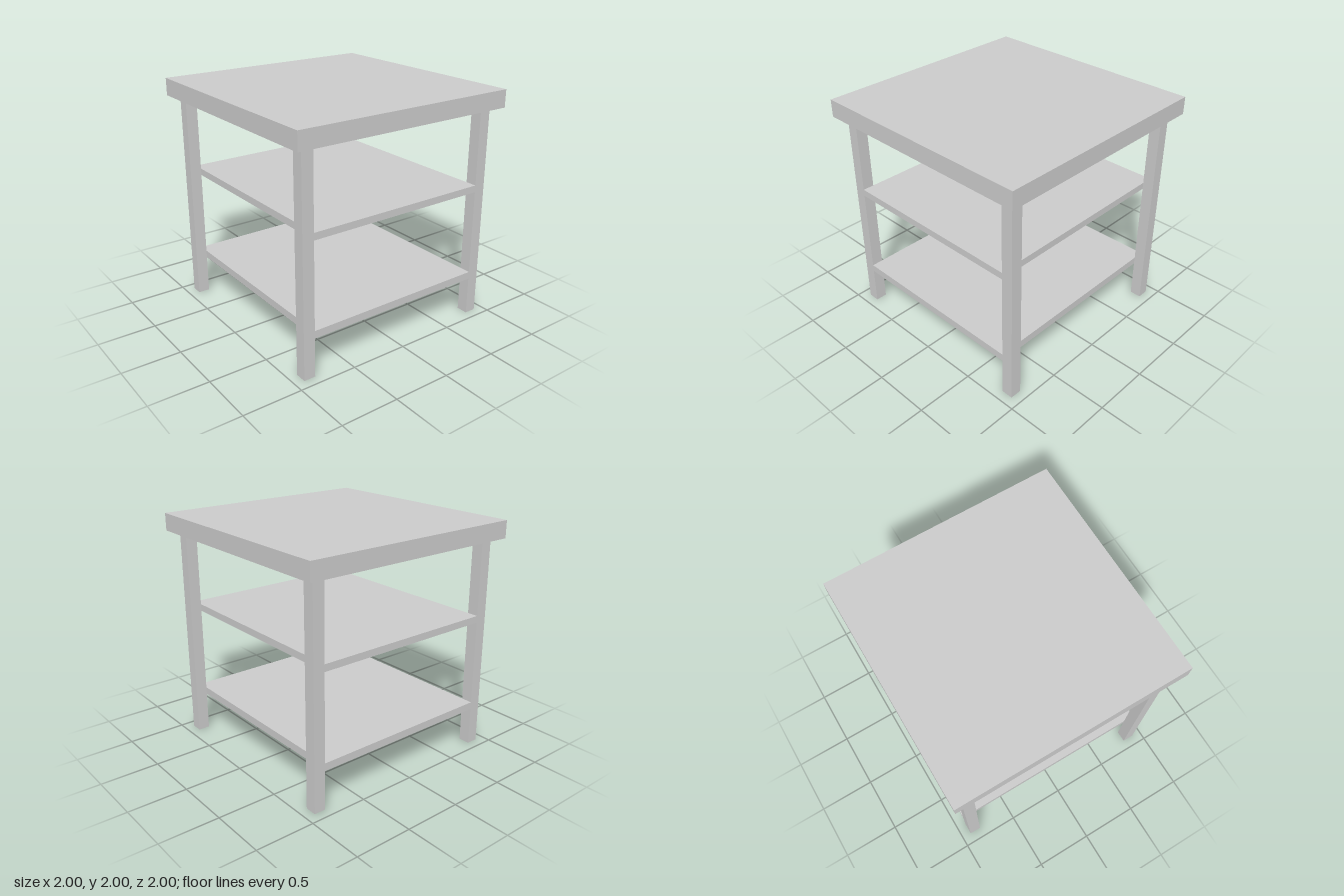
import * as THREE from 'three';

export function createModel() {
  const model = new THREE.Group();
  const material = new THREE.MeshStandardMaterial({ color: 0xcccccc });

  // Box spanning bottom..top, centred on x and z
  const addBox = (name, width, depth, bottom, top, x = 0, z = 0) => {
    const mesh = new THREE.Mesh(new THREE.BoxGeometry(width, top - bottom, depth), material);
    mesh.name = name;
    mesh.position.set(x, (bottom + top) / 2, z);
    model.add(mesh);
  };

  // Thick square top
  addBox('tableTop', 2, 2, 1.85, 2);

  // Four square legs, set in from the edge of the top
  const legSize = 0.1, legCentre = 0.867;
  for (const [side, x] of [['Left', legCentre], ['Right', -legCentre]]) {
    addBox(`front${side}Leg`, legSize, legSize, 0, 1.85, x, legCentre);
    addBox(`back${side}Leg`, legSize, legSize, 0, 1.85, x, -legCentre);
  }

  // Shelves: flush with the legs at the sides, fitted between them front to back
  const shelfWidth = 2 * legCentre + legSize, shelfDepth = 2 * legCentre - legSize;
  addBox('upperShelf', shelfWidth, shelfDepth, 1.14, 1.2);
  addBox('lowerShelf', shelfWidth, shelfDepth, 0.335, 0.4);

  return model;
}
